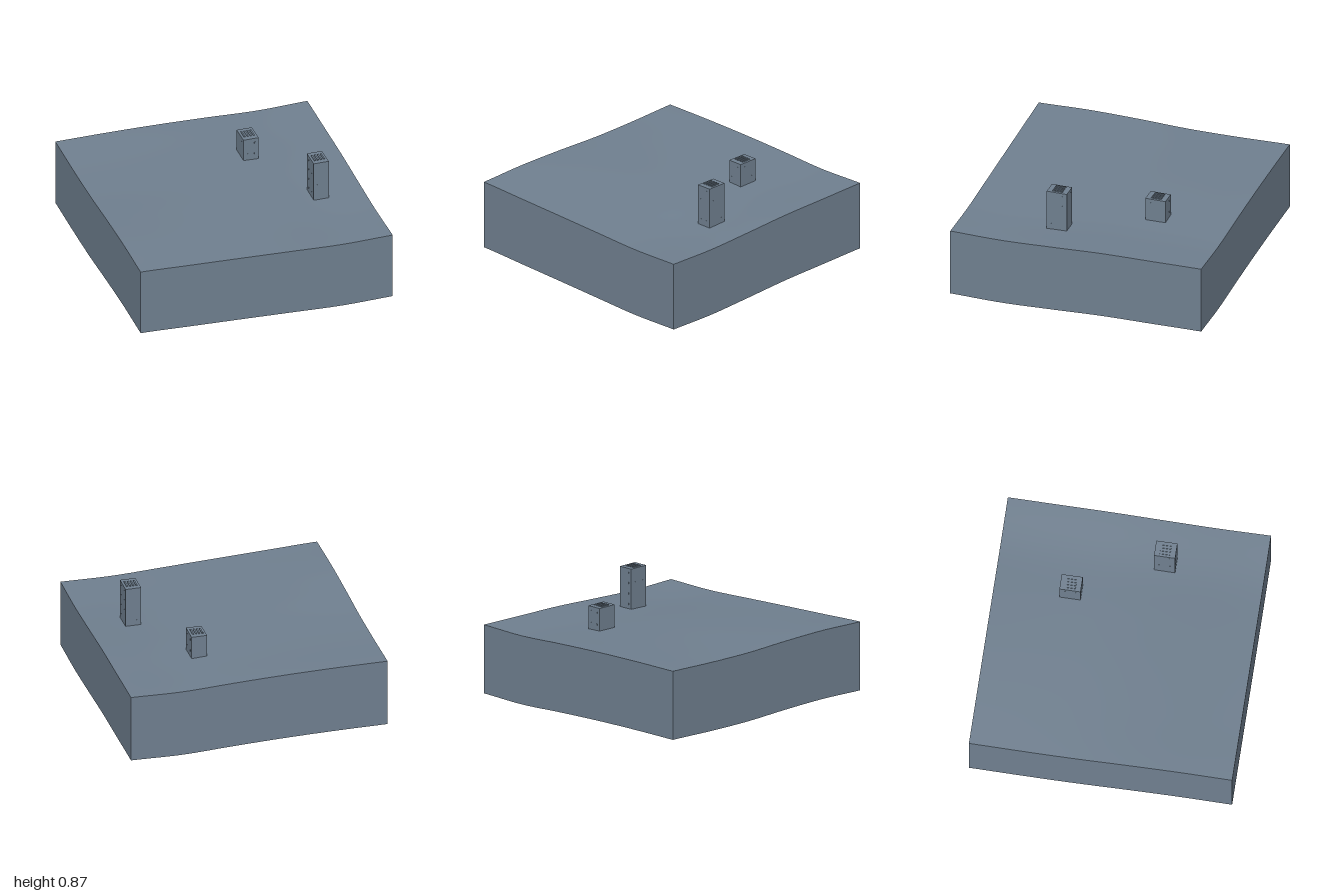
import * as THREE from 'three';

const DEPTH = 0.535; // height of the skirt walls

// Edge height profiles, evenly spaced from -1 to 1
const profile = (ys) => {
  const curve = new THREE.SplineCurve(ys.map((y, i) => new THREE.Vector2(i, y)));
  return (t) => curve.getPoint(THREE.MathUtils.clamp((t + 1) / 2, 0, 1)).y;
};
const front = profile([0.6, 0.584, 0.568, 0.551, 0.535, 0.54]);
const back = profile([0.608, 0.608, 0.602, 0.589, 0.572, 0.58]);
const left = profile([0.58, 0.574, 0.568, 0.55, 0.535, 0.54]);
const right = profile([0.608, 0.597, 0.594, 0.606, 0.611, 0.6]);

// Ground height: a smooth patch spanning the four edge profiles
function groundHeight(x, z) {
  const u = (x + 1) / 2, v = (z + 1) / 2, mix = THREE.MathUtils.lerp;
  return mix(back(x), front(x), v) + mix(right(z), left(z), u)
    - mix(mix(back(-1), back(1), u), mix(front(-1), front(1), u), v);
}

// Lift every vertex by the ground height below it
function drape(geometry) {
  const p = geometry.attributes.position;
  for (let i = 0; i < p.count; i++) {
    p.setY(i, p.getY(i) + groundHeight(p.getX(i), p.getZ(i)));
  }
  geometry.computeVertexNormals();
  return geometry;
}

function addMesh(parent, name, geometry, material, x = 0, y = 0, z = 0) {
  const mesh = new THREE.Mesh(geometry, material);
  mesh.name = name;
  mesh.position.set(x, y, z);
  parent.add(mesh);
  return mesh;
}

// Tower with a ridged roof and small window plates on all sides
function makeTower(name, x, z, top, floors, material) {
  const w = 0.12, d = 0.16;
  const tower = new THREE.Group();
  tower.name = name;
  tower.position.set(x, 0, z);
  const base = groundHeight(x, z) - 0.008;
  const h = top - base;
  addMesh(tower, 'towerWalls', new THREE.BoxGeometry(w, h, d), material, 0, base + h / 2, 0);

  const ridge = new THREE.BoxGeometry(0.012, 0.006, 0.08);
  for (let i = 0; i < 4; i++) {
    addMesh(tower, 'roofRidge', ridge, material, (i - 1.5) * 0.024, top + 0.003, 0);
  }

  const frontPane = new THREE.BoxGeometry(0.01, 0.014, 0.002);
  const sidePane = new THREE.BoxGeometry(0.002, 0.014, 0.01);
  for (let f = 0; f < floors; f++) {
    const y = base + h * (f + 0.6) / floors;
    for (const side of [-1, 1]) {
      for (const column of [-1, 1]) {
        addMesh(tower, 'window', frontPane, material, column * 0.03, y, side * d / 2);
        addMesh(tower, 'window', sidePane, material, side * w / 2, y, column * 0.04);
      }
    }
  }
  return tower;
}

export function createModel() {
  const model = new THREE.Group();
  model.name = 'terrainTile';
  const slate = new THREE.MeshStandardMaterial({ color: 0x708090, side: THREE.DoubleSide });
  slate.name = 'slate grey';

  // Gently rolling ground
  const ground = new THREE.PlaneGeometry(2, 2, 32, 32).rotateX(-Math.PI / 2);
  addMesh(model, 'ground', drape(ground), slate);

  // Four skirt walls, open underneath
  ['frontSkirt', 'leftSkirt', 'backSkirt', 'rightSkirt'].forEach((name, i) => {
    const wall = new THREE.PlaneGeometry(2, DEPTH, 32, 1)
      .translate(0, -DEPTH / 2, 1)
      .rotateY(i * Math.PI / 2);
    addMesh(model, name, drape(wall), slate);
  });

  model.add(makeTower('tallTower', 0.66, 0.25, 0.86, 4, slate));
  model.add(makeTower('shortTower', 0.33, -0.42, 0.75, 2, slate));
  return model;
}
